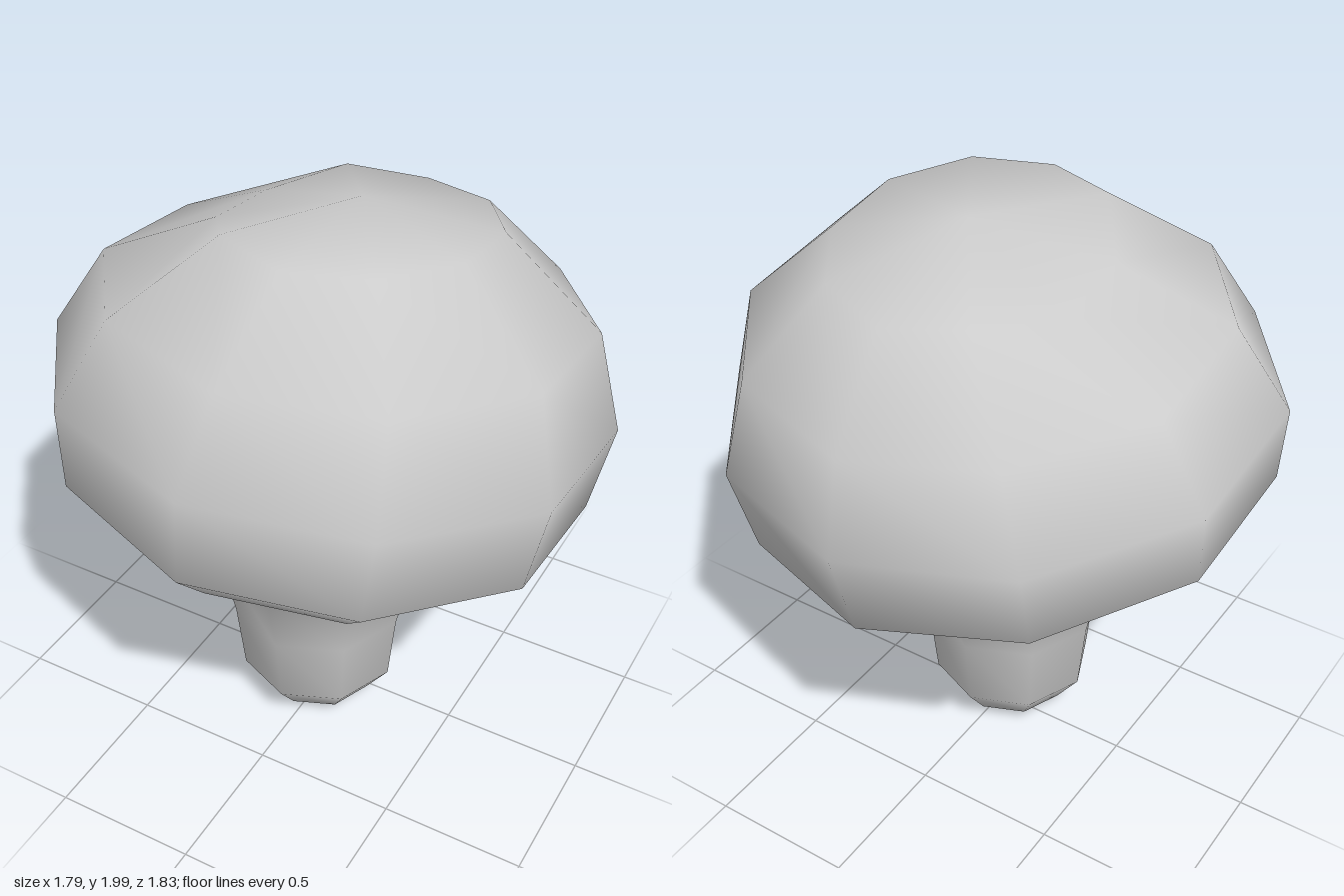
import * as THREE from 'three';
import { mergeVertices } from 'three/addons/utils/BufferGeometryUtils.js';

// Smooth-shaded lathe from [radius, height] pairs, bottom to top; reshape(v) moves each corner
function turned(profile, sides, reshape) {
  const geo = new THREE.LatheGeometry(profile.map(([r, y]) => new THREE.Vector2(r, y)), sides);
  geo.deleteAttribute('uv');
  geo.deleteAttribute('normal');
  const pos = geo.attributes.position;
  const v = new THREE.Vector3();
  for (let i = 0; i < pos.count; i++) {
    reshape(v.fromBufferAttribute(pos, i));
    pos.setXYZ(i, v.x, v.y, v.z);
  }
  const welded = mergeVertices(geo, 1e-4);
  welded.computeVertexNormals();
  return welded;
}

// Uneven dome: fuller on the left, dented high on the right, lifted below the right rim
function shapeCap(v) {
  const upper = THREE.MathUtils.smoothstep(v.y, 0, 0.5);
  const crown = v.y > 0.5;
  const dent = crown && v.x < -0.4 ? 0.07 : 0;
  const lift = v.y < -0.2 ? 0.05 * Math.max(-v.x, 0) : 0;
  v.y += upper * (0.1 * Math.max(v.x, 0) + 0.03 * v.z) + lift - dent;
  v.x = v.x * (crown ? 0.9 : 1.025) + 0.03 * upper;
}

// The flaring top of the stem follows the lean of the cap
function shapeStem(v) {
  const t = THREE.MathUtils.smoothstep(v.y, 0.45, 0.87);
  v.y += t * (0.115 * v.z - 0.075 * v.x);
}

export function createModel() {
  const group = new THREE.Group();
  const material = new THREE.MeshStandardMaterial({ color: 0xcccccc, side: THREE.DoubleSide });

  // Cap: ten-sided dome, leaning to the back and left
  const cap = new THREE.Mesh(turned([
    [0, -0.5], [0.45, -0.5], [0.71, -0.46], [0.88, -0.31], [0.92, 0],
    [0.785, 0.29], [0.49, 0.555], [0, 0.64],
  ], 10, shapeCap), material);
  cap.name = 'cap';
  cap.position.set(0.007, 1.36, 0);
  cap.rotation.set(-0.115, 0, -0.06);
  group.add(cap);

  // Stem: eight sides, rounded foot, open flared top tucked into the cap
  const stem = new THREE.Mesh(turned([
    [0, 0], [0.2, 0.052], [0.283, 0.165], [0.31, 0.43], [0.362, 0.67], [0.5, 0.885],
  ], 8, shapeStem), material);
  stem.name = 'stem';
  stem.position.set(-0.01, 0, 0.06);
  group.add(stem);

  return group;
}
